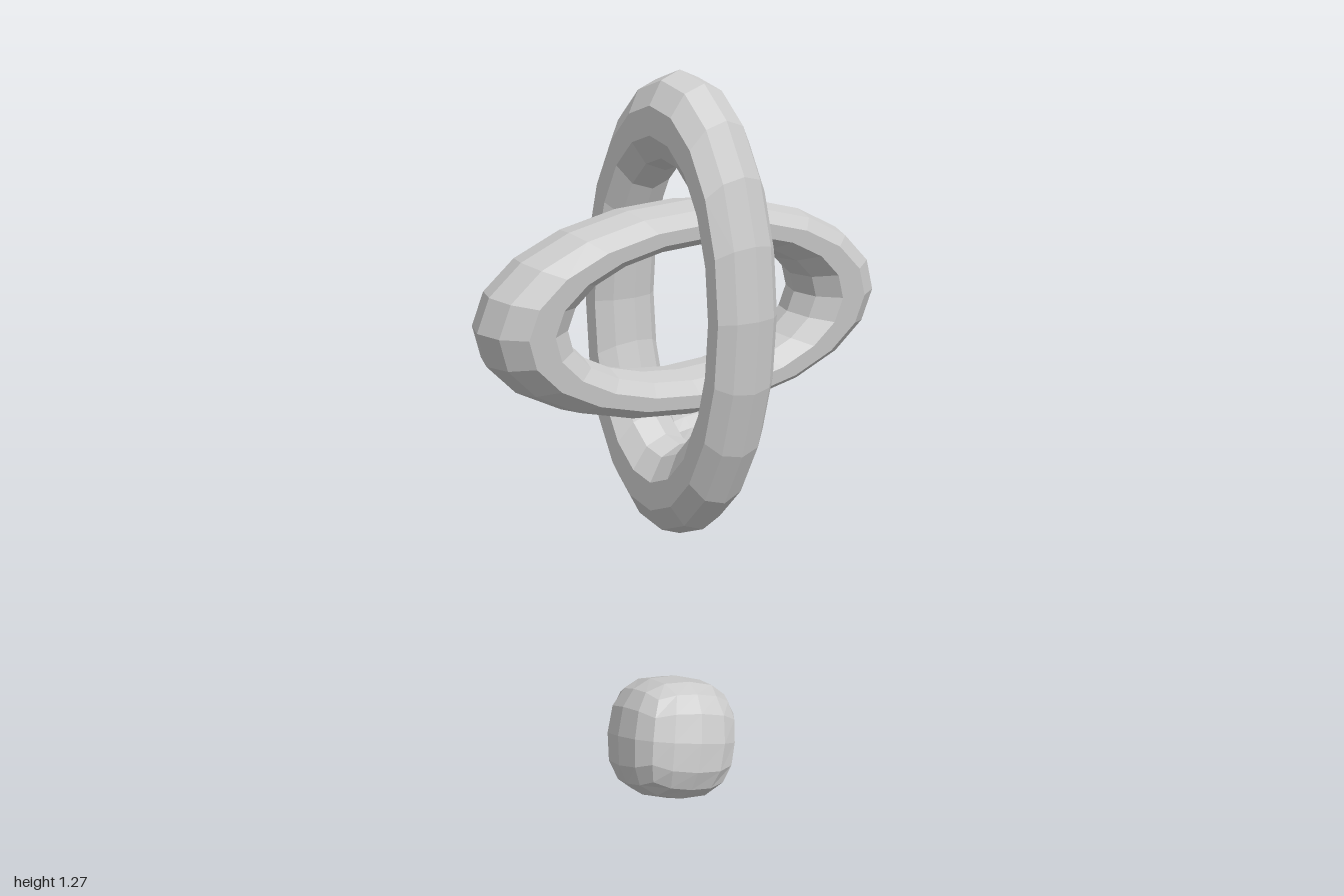
import * as THREE from 'three';

const material = new THREE.MeshStandardMaterial({ color: 0xcccccc, flatShading: true });

// Torus squashed to an oval: long along x, short along y
function ovalRing(name) {
  const geometry = new THREE.TorusGeometry(0.435, 0.108, 10, 20);
  geometry.scale(1, 0.465, 0.92);
  const mesh = new THREE.Mesh(geometry, material);
  mesh.name = name;
  mesh.position.set(0.01, 0.72, 0.01);
  return mesh;
}

// Cube rounded towards a superellipsoid
function roundedCube(name) {
  const geometry = new THREE.BoxGeometry(2, 2, 2, 4, 4, 4);
  const pos = geometry.attributes.position;
  const p = 2.6, radius = 0.113;
  for (let i = 0; i < pos.count; i++) {
    const v = new THREE.Vector3().fromBufferAttribute(pos, i);
    const norm = (Math.abs(v.x) ** p + Math.abs(v.y) ** p + Math.abs(v.z) ** p) ** (1 / p);
    v.multiplyScalar(radius / norm);
    pos.setXYZ(i, v.x, v.y, v.z);
  }
  // Slight tumble of the cube
  const tilt = new THREE.Matrix4().makeBasis(
    new THREE.Vector3(0.97, -0.2, 0.12).normalize(),
    new THREE.Vector3(0.22, 0.95, -0.2).normalize(),
    new THREE.Vector3(-0.08, 0.22, 0.97).normalize()
  );
  geometry.applyMatrix4(tilt);
  geometry.computeVertexNormals();
  const mesh = new THREE.Mesh(geometry, material);
  mesh.name = name;
  return mesh;
}

export function createModel() {
  const model = new THREE.Group();
  model.name = 'crossedRings';

  // Wide ring, leaning forward at the top
  const wideRing = ovalRing('wideRing');
  wideRing.rotation.x = THREE.MathUtils.degToRad(6);
  model.add(wideRing);

  // Tall ring, standing across the wide one and turned slightly
  const tallRing = ovalRing('tallRing');
  tallRing.geometry.rotateZ(Math.PI / 2).rotateY(-Math.PI / 2);
  tallRing.rotation.y = THREE.MathUtils.degToRad(9);
  tallRing.position.x = 0.003;
  model.add(tallRing);

  // Two loose cubes on opposite corners, half a turn apart
  const frontCube = roundedCube('frontCube');
  frontCube.position.set(-0.634, 0.115, 0.884);
  const backCube = roundedCube('backCube');
  backCube.position.set(0.628, 0.115, -0.884);
  backCube.rotation.y = Math.PI;
  model.add(frontCube, backCube);

  return model;
}
